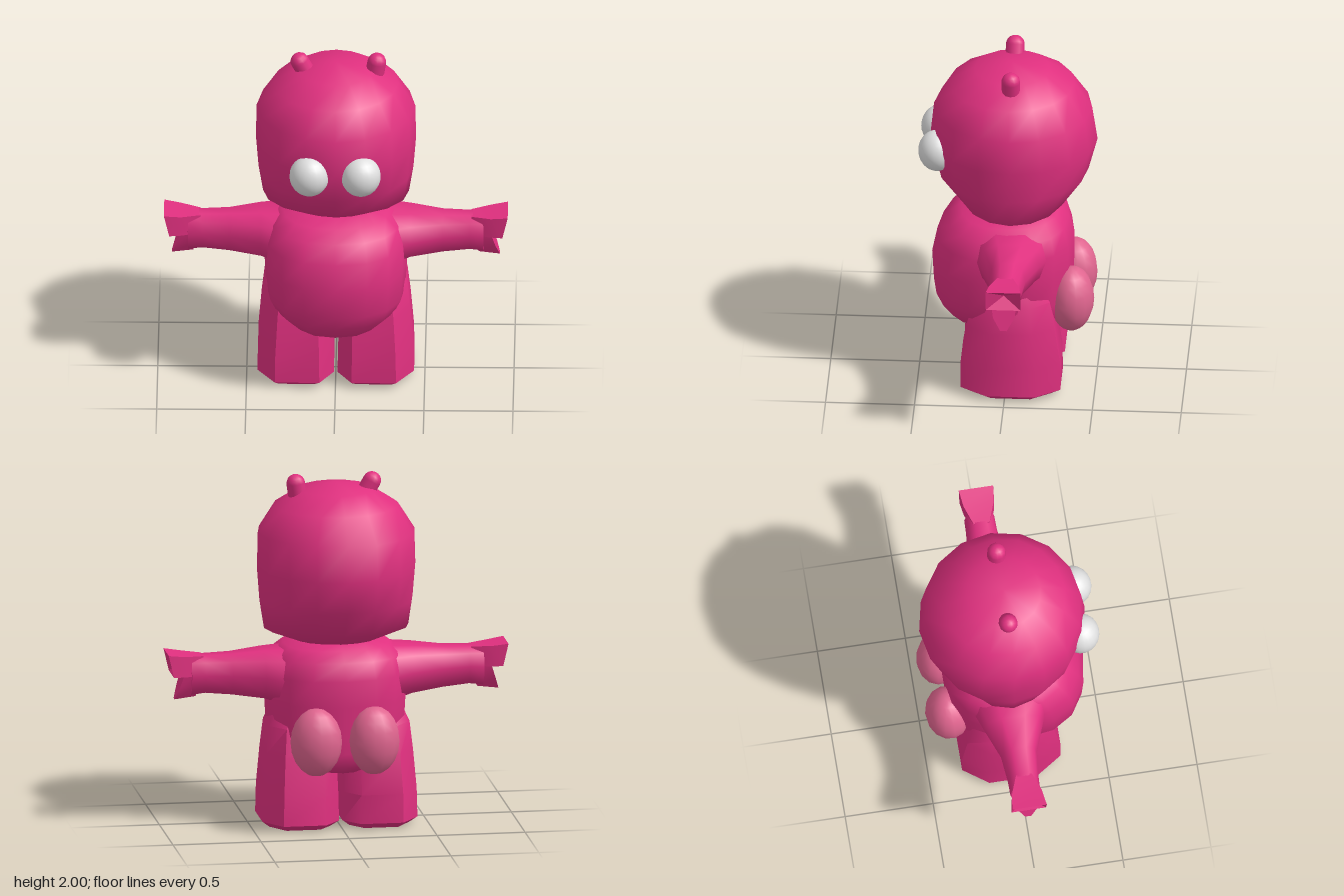
import * as THREE from 'three';
import { toCreasedNormals } from 'three/addons/utils/BufferGeometryUtils.js';

const V = (x, y, z) => new THREE.Vector3(x, y, z);

// Skin over a list of rings; each end closes on a centre point, and the last one may be pushed along the axis
function loft(rings, crease, endPush = V(0, 0, 0)) {
  const n = rings[0].length, last = rings.length - 1;
  const centre = (r) => r.reduce((s, p) => s.add(p), V(0, 0, 0)).divideScalar(n);
  const pts = [...rings.flat(), centre(rings[0]), centre(rings[last]).add(endPush)];
  const s = pts.length - 2, e = pts.length - 1, index = [];
  for (let j = 0; j < n; j++) {
    const k = (j + 1) % n;
    for (let i = 0; i < last; i++) {
      const a = i * n + j, b = i * n + k;
      index.push(a, a + n, b, b, a + n, b + n);
    }
    index.push(s, j, k, e, last * n + k, last * n + j);
  }
  const g = new THREE.BufferGeometry().setFromPoints(pts);
  g.setIndex(index);
  return toCreasedNormals(g, crease);
}

// Rounded loop of n unit points; a higher power makes it squarer
function loop(n, power) {
  return Array.from({ length: n }, (_, i) => {
    const a = (i / n) * Math.PI * 2;
    const f = (v) => (Math.abs(v) < 1e-6 ? 0 : Math.sign(v) * Math.abs(v) ** (2 / power));
    return [f(Math.cos(a)), f(Math.sin(a))];
  });
}

// Rows of [y, halfWidth, zFront, zBack] to horizontal rings
const stack = (rows, n, power) => rows.map(([y, rx, zf, zb]) =>
  loop(n, power).map(([c, s]) => V(c * rx, y, (zf + zb) / 2 + s * (zf - zb) / 2)));

// Mirror rings to the other side, keeping faces outward
const side = (rings, s) => rings.map((r) => {
  const q = r.map((p) => V(p.x * s, p.y, p.z));
  return s < 0 ? q.reverse() : q;
});

export function createModel() {
  const group = new THREE.Group();
  const material = (name, color) => {
    const m = new THREE.MeshStandardMaterial({ color });
    m.name = name;
    return m;
  };
  const magenta = material('magenta', 0xe0307f);
  const pink = material('pink', 0xe0658f);
  const white = material('white', 0xe0e0e0);
  const add = (name, geometry, mat) => {
    const m = new THREE.Mesh(geometry, mat);
    m.name = name;
    group.add(m);
    return m;
  };

  // Round head with flattened cheeks
  add('head', loft(stack([
    [1.04, 0.2, 0.15, -0.2], [1.12, 0.41, 0.27, -0.33], [1.28, 0.435, 0.4, -0.45],
    [1.47, 0.45, 0.44, -0.5], [1.67, 0.445, 0.42, -0.47], [1.82, 0.35, 0.33, -0.37],
    [1.91, 0.21, 0.19, -0.23],
  ], 16, 2), 1.3, V(0, 0.04, 0)), magenta);

  // Torso with a full belly and flat back
  add('body', loft(stack([
    [0.29, 0.04, 0, -0.1], [0.33, 0.14, 0.21, -0.3], [0.37, 0.26, 0.33, -0.35],
    [0.45, 0.35, 0.38, -0.36], [0.54, 0.39, 0.42, -0.36], [0.72, 0.4, 0.43, -0.37],
    [0.87, 0.4, 0.4, -0.37], [0.97, 0.37, 0.34, -0.34], [1.03, 0.3, 0.27, -0.29],
    [1.06, 0.18, 0.16, -0.2],
  ], 16, 2.4), 1.3), magenta);

  // Eight-sided leg outline: [x, z]
  const foot = [[0.44, -0.17], [0.44, 0.1], [0.34, 0.25], [0.09, 0.25],
    [0.01, 0.12], [0.01, -0.2], [0.1, -0.31], [0.34, -0.31]];
  // Leg rows: [y, scale x, scale z, shift x]
  const legRows = [[0, 0.8, 0.82, 0], [0.035, 1, 1, 0], [0.2, 0.98, 1, 0],
    [0.42, 0.92, 0.88, -0.005], [0.58, 0.86, 0.78, -0.01], [0.68, 0.7, 0.6, -0.02]];
  const leg = legRows.map(([y, sx, sz, dx]) => foot.map(([x, z]) =>
    V(0.225 + (x - 0.225) * sx + dx, y, -0.03 + (z + 0.03) * sz)));

  // Arm rows: [x, yTop, yBottom, zFront, zBack]
  const armRows = [[0.22, 1.02, 0.66, 0.22, -0.27], [0.42, 1.01, 0.725, 0.14, -0.2],
    [0.6, 0.99, 0.748, 0.075, -0.13], [0.75, 0.985, 0.762, 0.06, -0.115],
    [0.83, 0.985, 0.752, 0.058, -0.113]];
  const arm = armRows.map(([x, t, b, f, k]) => loop(10, 2.5).map(([c, s]) =>
    V(x, (t + b) / 2 + s * (t - b) / 2, (f + k) / 2 + c * (f - k) / 2)));

  // Upper hand: flared block, hollow at the end
  const palm = [[0.76, 0.76, 0.98, 0.87, 0.045], [0.87, 0.86, 0.987, 0.87, 0.085],
    [0.965, 0.935, 1, 0.872, 0.098]].map(([xt, xb, t, b, w]) => [
    V(xb, b, -0.025 + w), V(xt, t, -0.025 + w), V(xt, t, -0.025 - w), V(xb, b, -0.025 - w)]);

  // Lower hand: wedge that narrows downward and leans outward
  const thumb = [[0.73, 0.8, 0.92, 0.018], [0.8, 0.79, 0.897, 0.06], [0.89, 0.78, 0.868, 0.075]]
    .map(([y, x0, x1, w]) => [V(x1, y, -0.025 - w), V(x1, y, -0.025 + w),
      V(x0, y + 0.015, -0.025 + w), V(x0, y + 0.015, -0.025 - w)]);

  for (const s of [1, -1]) {
    const label = s > 0 ? 'left' : 'right';
    add(label + 'Leg', loft(side(leg, s), 0.9), magenta);
    add(label + 'Arm', loft(side(arm, s), 1), magenta);
    add(label + 'Palm', loft(side(palm, s), 0.6, V(-0.07 * s, 0, 0)), magenta);
    add(label + 'Thumb', loft(side(thumb, s), 0.6), magenta);

    // Bulging eye
    const eye = add(label + 'Eye', new THREE.SphereGeometry(1, 20, 14), white);
    eye.scale.set(0.112, 0.118, 0.105);
    eye.position.set(0.145 * s, 1.445, 0.395);
    eye.rotation.y = 0.2 * s;

    // Soft cheek on the lower back
    const cheek = add(label + 'RearCheek', new THREE.SphereGeometry(1, 14, 10), pink);
    cheek.scale.set(0.145, 0.195, 0.125);
    cheek.position.set(0.165 * s, 0.53, -0.365);
    cheek.rotation.y = -0.15 * s;
  }

  // Small ear stubs, each with its own lean
  const ears = [['leftEar', 0.212, 0.229], ['rightEar', -0.145, -0.203]];
  for (const [name, x0, x1] of ears) {
    const a = V(x0, 1.84, -0.025), b = V(x1, 1.947, -0.025);
    const ear = add(name, new THREE.CapsuleGeometry(0.053, a.distanceTo(b), 5, 12), magenta);
    ear.position.copy(a).lerp(b, 0.5);
    ear.quaternion.setFromUnitVectors(V(0, 1, 0), b.sub(a).normalize());
  }
  return group;
}
